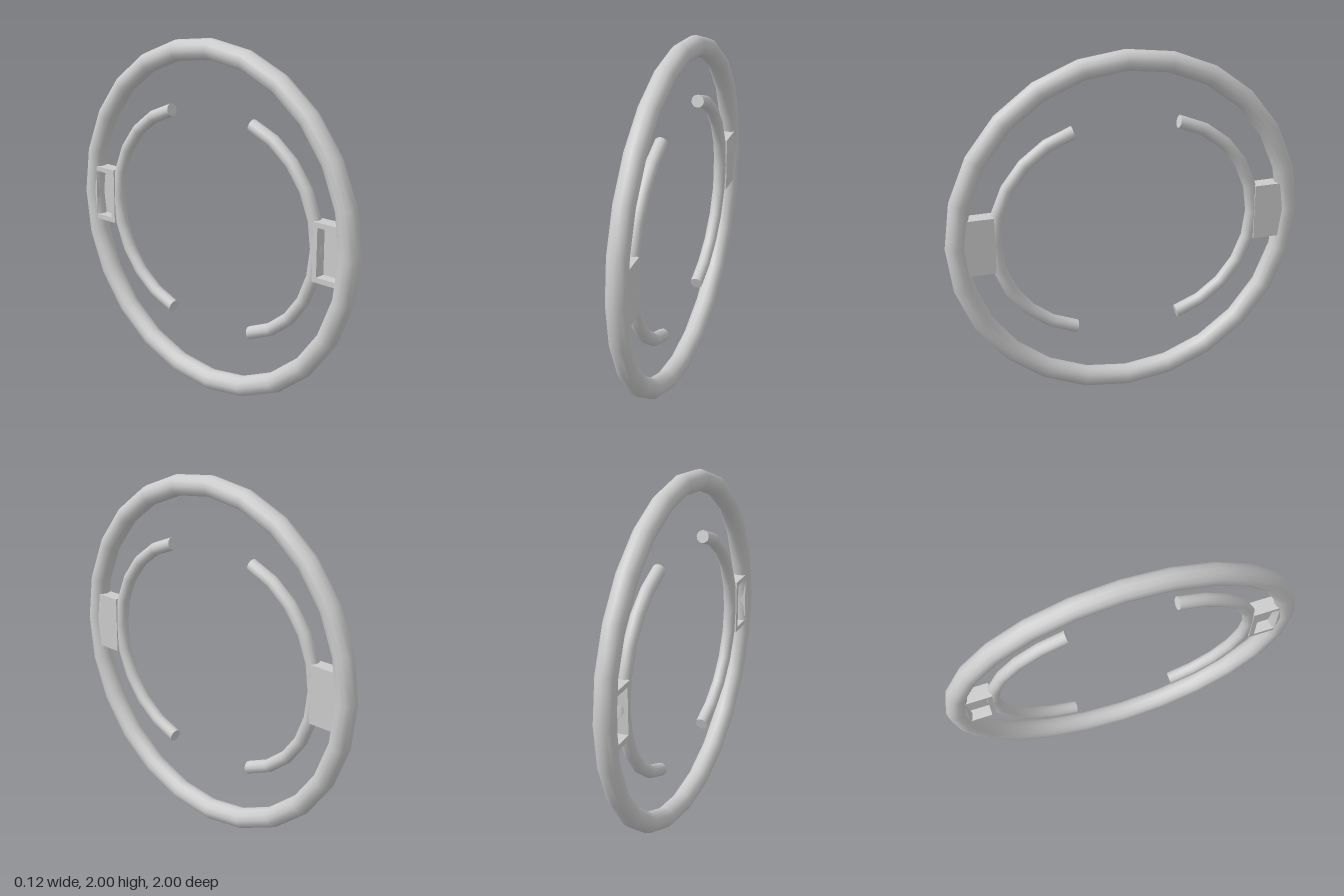
import * as THREE from 'three';

const grey = new THREE.MeshStandardMaterial({ color: 0xcccccc });

function addMesh(parent, name, geometry) {
  const mesh = new THREE.Mesh(geometry, grey);
  mesh.name = name;
  parent.add(mesh);
  return mesh;
}

// Curved grip bar: a 150 degree arc with closed ends
function makeGrip() {
  const grip = new THREE.Group();
  grip.name = 'grip';
  const radius = 0.597, tube = 0.036, arc = Math.PI * 5 / 6;
  addMesh(grip, 'gripBar', new THREE.TorusGeometry(radius, tube, 12, 10, arc));
  for (const [angle, turn] of [[0, Math.PI / 2], [arc, -Math.PI / 2]]) {
    const cap = addMesh(grip, 'gripEnd', new THREE.CircleGeometry(tube, 12));
    cap.position.set(radius * Math.cos(angle), radius * Math.sin(angle), 0);
    cap.rotation.set(turn, 0, angle, 'ZYX');
  }
  grip.position.x = 0.138;
  grip.rotation.z = -arc / 2;
  return grip;
}

// Bracket between grip and rim: solid plate on one side, open pocket on the other
function makeBracket() {
  const bracket = new THREE.Group();
  bracket.name = 'bracket';
  const inner = 0.737, outer = 0.915, half = 0.16, wall = 0.028;
  const depth = 0.08, plate = 0.02;
  const rectangle = (Type, x0, x1, h) => new Type([
    new THREE.Vector2(x0, -h), new THREE.Vector2(x1, -h),
    new THREE.Vector2(x1, h), new THREE.Vector2(x0, h),
  ]);
  const frame = rectangle(THREE.Shape, inner, outer, half);
  frame.holes.push(rectangle(THREE.Path, inner + wall, outer - wall, half - wall));
  const walls = new THREE.ExtrudeGeometry(frame, { depth: depth - plate, bevelEnabled: false });
  addMesh(bracket, 'bracketFrame', walls).position.z = plate - depth / 2;
  const back = new THREE.BoxGeometry(outer - inner, half * 2, plate);
  addMesh(bracket, 'bracketPlate', back).position.set((inner + outer) / 2, 0, (plate - depth) / 2);
  return bracket;
}

export function createModel() {
  const model = new THREE.Group();
  model.name = 'handWheel';

  // Wheel is laid out in its own plane, then turned to face sideways
  const wheel = new THREE.Group();
  wheel.name = 'wheel';
  wheel.position.y = 1;
  wheel.rotation.y = -Math.PI / 2;
  model.add(wheel);

  addMesh(wheel, 'rim', new THREE.TorusGeometry(0.9425, 0.0575, 12, 24));

  // One grip and bracket on each side
  for (const [name, angle] of [['frontSide', 0], ['backSide', Math.PI]]) {
    const side = new THREE.Group();
    side.name = name;
    side.rotation.z = angle;
    side.add(makeGrip(), makeBracket());
    wheel.add(side);
  }
  return model;
}
